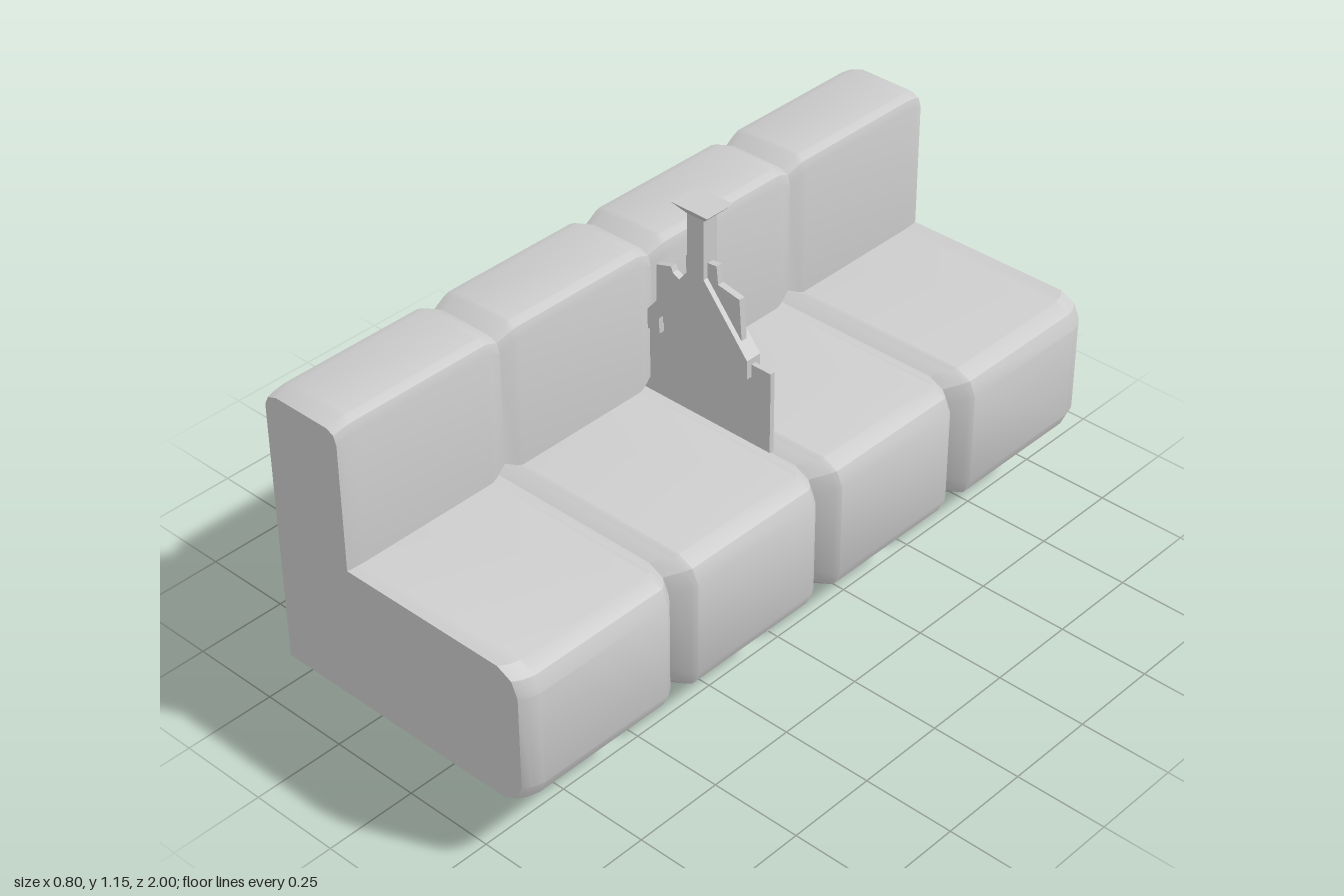
import * as THREE from 'three';
import { toCreasedNormals } from 'three/addons/utils/BufferGeometryUtils.js';

const material = new THREE.MeshStandardMaterial({ color: 0xcccccc });

function addMesh(group, name, geometry) {
  const mesh = new THREE.Mesh(geometry, material);
  mesh.name = name;
  group.add(mesh);
  return mesh;
}

// Skin convex counterclockwise sections, each { z, points: [[x, y], ...] }, along +z
function loft(sections) {
  const n = sections[0].points.length;
  const last = (sections.length - 1) * n;
  const positions = sections.flatMap(s => s.points.flatMap(([x, y]) => [x, y, s.z]));
  const index = [];
  for (let i = 0; i < sections.length - 1; i++) {
    for (let j = 0; j < n; j++) {
      const a = i * n + j, b = i * n + (j + 1) % n;
      index.push(a, b, b + n, a, b + n, a + n);
    }
  }
  for (let j = 1; j < n - 1; j++) {
    index.push(0, j + 1, j, last, last + j, last + j + 1);
  }
  const geometry = new THREE.BufferGeometry();
  geometry.setAttribute('position', new THREE.Float32BufferAttribute(positions, 3));
  geometry.setIndex(index);
  return toCreasedNormals(geometry, 0.45);
}

// Stations along the bench: seam = depth into a groove, end = rounding at the ends
function stations() {
  const list = [{ z: -1, seam: 0, end: 1 }, { z: -0.98, seam: 0, end: 0.4 }, { z: -0.95, seam: 0, end: 0 }];
  for (const z of [-0.5, 0, 0.5]) {
    for (const [dz, seam] of [[-0.05, 0], [-0.035, 0.2], [0, 1], [0.035, 0.2], [0.05, 0]]) {
      list.push({ z: z + dz, seam, end: 0 });
    }
  }
  list.push({ z: 0.95, seam: 0, end: 0 }, { z: 0.98, seam: 0, end: 0.4 }, { z: 1, seam: 0, end: 1 });
  return list;
}

function seatSection({ z, seam, end }) {
  const f = 0.4 - 0.045 * seam - 0.022 * end;
  const low = 0.19 + 0.02 * seam, high = 0.57 - 0.02 * seam;
  return {
    z,
    points: [
      [-0.4, low], [f - 0.06, low], [f - 0.018, low + 0.02], [f, low + 0.06],
      [f, high - 0.06], [f - 0.018, high - 0.02], [f - 0.06, high], [-0.4, high],
    ],
  };
}

function backSection({ z, seam, end }) {
  const top = 0.964 - 0.022 * seam - 0.012 * end;
  const low = 0.57 + 0.024 * seam;
  const rear = -0.4 + 0.004 * seam, front = -0.16 - 0.01 * seam - 0.004 * end;
  return {
    z,
    points: [
      [rear, low], [front, low], [front, top - 0.034], [front - 0.008, top - 0.01],
      [front - 0.03, top], [rear + 0.04, top], [rear + 0.012, top - 0.01], [rear, top - 0.034],
    ],
  };
}

// Flat outline in x and y, given a thickness centred on z = 0
function plate(outline, thickness) {
  const shape = new THREE.Shape(outline.map(([x, y]) => new THREE.Vector2(x, y)));
  return new THREE.ExtrudeGeometry(shape, { depth: thickness, bevelEnabled: false })
    .translate(0, 0, -thickness / 2);
}

export function createModel() {
  const model = new THREE.Group();
  model.name = 'sectionedBench';

  // Padded bench with three seams
  const bench = new THREE.Group();
  bench.name = 'bench';
  addMesh(bench, 'seat', loft(stations().map(seatSection)));
  addMesh(bench, 'backrest', loft(stations().map(backSection)));
  model.add(bench);

  // Upright sheet through the middle seam
  addMesh(model, 'centrePlate', new THREE.BoxGeometry(0.44, 0.78, 0.014).translate(0, 0.39, 0));

  // Bracket standing on the sheet
  const bracket = new THREE.Group();
  bracket.name = 'bracket';
  addMesh(bracket, 'jaggedSheet', plate([
    [-0.143, 0.77], [0.131, 0.77], [0.131, 0.817], [0.122, 0.945], [0.055, 0.957],
    [0.05, 1.006], [-0.046, 0.996], [-0.046, 0.93], [-0.064, 0.915], [-0.09, 0.927],
    [-0.095, 0.942], [-0.143, 0.927],
  ], 0.018));
  addMesh(bracket, 'forkArms', plate([
    [-0.16, 0.745], [-0.122, 0.745], [-0.122, 0.79], [-0.02, 0.955], [0.014, 0.955],
    [0.12, 0.79], [0.12, 0.745], [0.16, 0.745], [0.16, 0.797], [0.022, 0.962],
    [0.022, 0.985], [-0.03, 0.985], [-0.03, 0.962], [-0.16, 0.8],
  ], 0.046));
  addMesh(bracket, 'stem', new THREE.BoxGeometry(0.052, 0.165, 0.046).translate(-0.004, 1.0425, 0));

  // Square flared cap
  const half = Math.SQRT1_2;
  const cap = new THREE.CylinderGeometry(half, half * 0.47, 1, 4, 1).rotateY(Math.PI / 4)
    .scale(0.115, 0.03, 0.09).translate(-0.004, 1.137, 0);
  addMesh(bracket, 'flaredCap', toCreasedNormals(cap, 0.3));
  model.add(bracket);

  return model;
}
